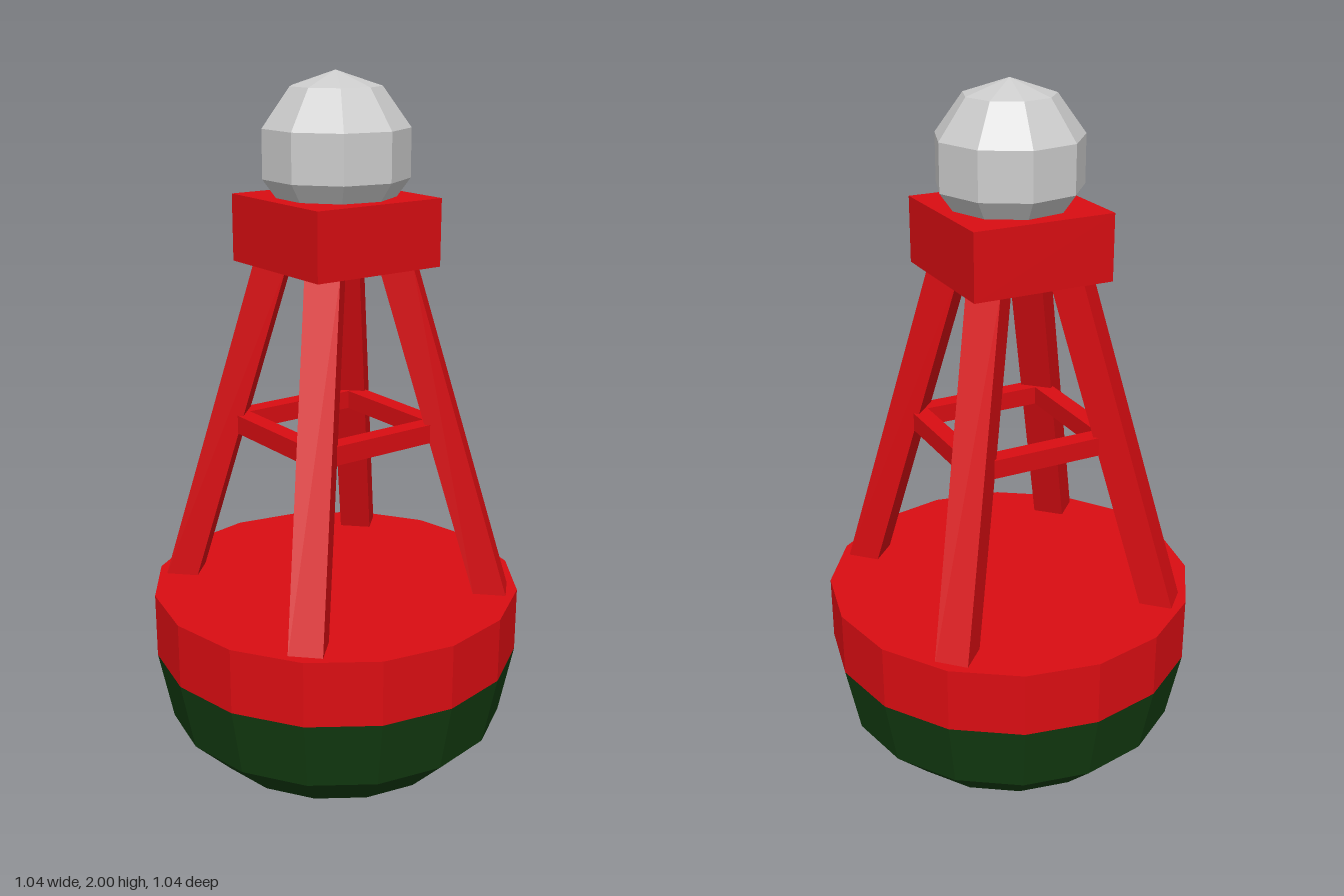
import * as THREE from 'three';

const paint = (color) => new THREE.MeshStandardMaterial({ color, flatShading: true });

export function createModel() {
  const buoy = new THREE.Group();
  buoy.name = 'buoy';
  const red = paint(0xd90d12);
  const green = paint(0x123a10);
  const grey = paint(0xcccccc);

  const add = (name, geometry, material, x = 0, y = 0, z = 0) => {
    const mesh = new THREE.Mesh(geometry, material);
    mesh.name = name;
    mesh.position.set(x, y, z);
    buoy.add(mesh);
    return mesh;
  };
  const lathe = (points) =>
    new THREE.LatheGeometry(points.map(([r, y]) => new THREE.Vector2(r, y)), 16);

  // Hull: rounded green bottom and red band closed by a flat deck
  add('hullBottom', lathe([[0, 0.003], [0.2, 0.023], [0.368, 0.08], [0.482, 0.195], [0.522, 0.395]]), green);
  add('hullBand', lathe([[0.522, 0.395], [0.522, 0.58], [0, 0.58]]), red);

  // Four square legs, sheared inwards from the deck to the lamp base
  const footY = 0.57, topY = 1.51, lean = 0.212;
  const legX = (y) => 0.315 - lean * (y - 0.58);
  const height = topY - footY, midY = (footY + topY) / 2;
  for (const sx of [1, -1]) {
    for (const sz of [1, -1]) {
      const leg = new THREE.CylinderGeometry(0.065, 0.065, height, 4);
      const p = leg.attributes.position;
      for (let i = 0; i < p.count; i++) {
        const offset = legX(midY + p.getY(i));
        p.setX(i, p.getX(i) + sx * offset);
        p.setZ(i, p.getZ(i) + sz * offset);
      }
      leg.computeVertexNormals();
      add('leg', leg, red, 0, midY, 0);
    }
  }

  // Square ring of braces between the legs
  for (const s of [1, -1]) {
    add('brace', new THREE.BoxGeometry(0.4, 0.052, 0.05), red, 0, 1.048, s * 0.197);
    add('brace', new THREE.BoxGeometry(0.05, 0.052, 0.4), red, s * 0.197, 1.048, 0);
  }

  // Lamp base and faceted lamp
  add('lampBase', new THREE.BoxGeometry(0.396, 0.18, 0.396), red, 0, 1.59, 0);
  const lamp = add('lamp', new THREE.SphereGeometry(0.207, 9, 5), grey, 0, 1.793, 0);
  lamp.rotation.y = -Math.PI / 2;

  return buoy;
}
